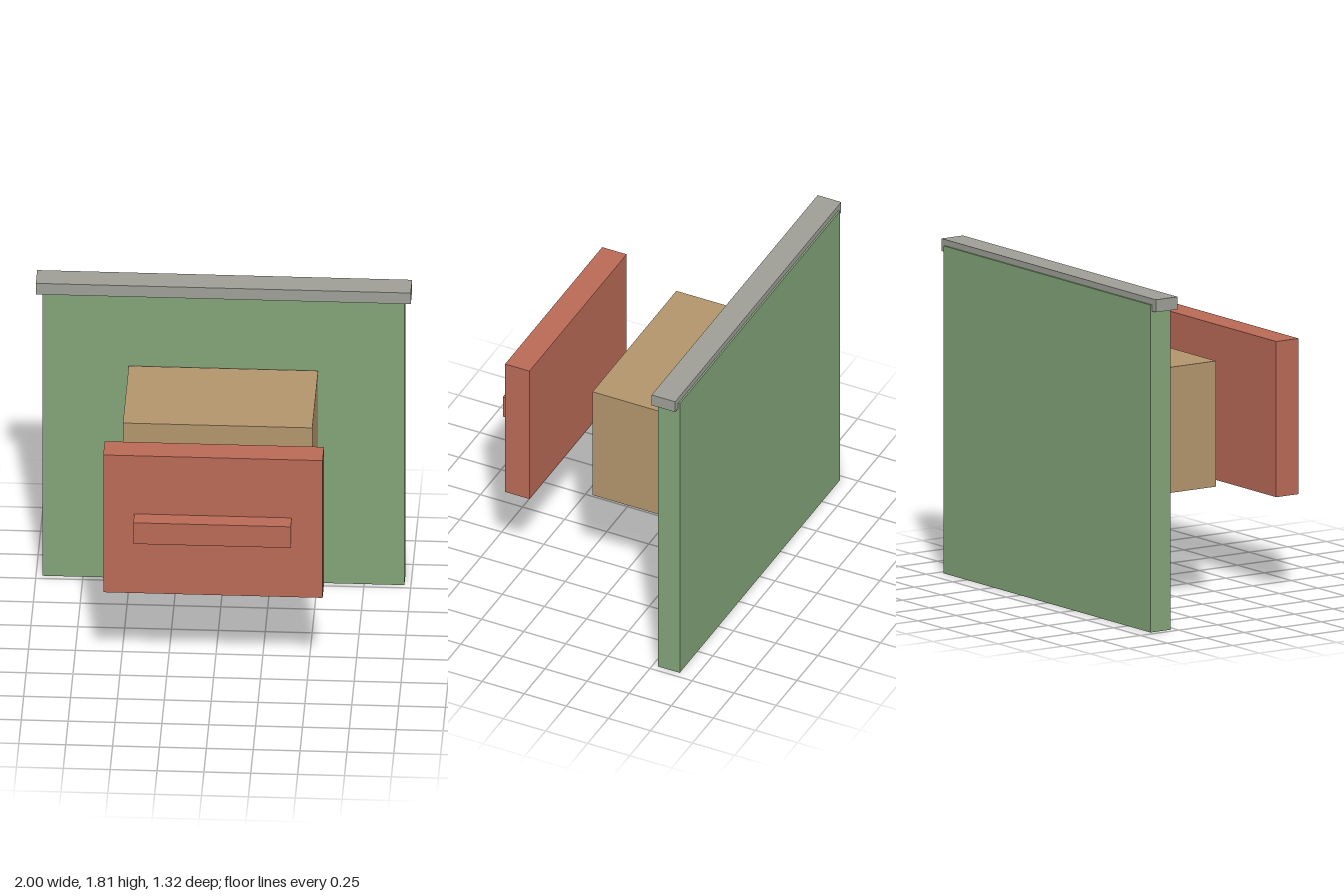
import * as THREE from 'three';

const GREEN = 0x82a377, GREY = 0x9e9e97, TAN = 0xb3956c, RED = 0xb96a56, SLATE = 0x5f6b75, PALE = 0xb5b0a4;

// Box given by its [min, max] range on each axis
function block(name, color, [x0, x1], [y0, y1], [z0, z1]) {
  const mesh = new THREE.Mesh(
    new THREE.BoxGeometry(x1 - x0, y1 - y0, z1 - z0),
    new THREE.MeshStandardMaterial({ color })
  );
  mesh.name = name;
  mesh.position.set((x0 + x1) / 2, (y0 + y1) / 2, (z0 + z1) / 2);
  return mesh;
}

export function createModel() {
  const model = new THREE.Group();
  model.name = 'wallBox';

  // Back wall with its coping
  model.add(
    block('wall', GREEN, [-0.965, 0.965], [0, 1.78], [-0.66, -0.53]),
    block('coping', GREY, [-1, 1], [1.745, 1.813], [-0.65, -0.51])
  );

  // Box in front of the wall, with the plate and foot below it
  model.add(
    block('box', TAN, [-0.505, 0.505], [0.63, 1.313], [-0.52, 0.085]),
    block('underPlate', SLATE, [-0.3, 0.3], [0.6, 0.63], [-0.475, -0.115]),
    block('foot', PALE, [-0.45, -0.325], [0.545, 0.63], [-0.52, -0.32])
  );

  // Detached front panel with a bar handle
  const cover = new THREE.Group();
  cover.name = 'frontCover';
  cover.add(
    block('coverPanel', RED, [-0.585, 0.585], [0.547, 1.393], [0.42, 0.565]),
    block('coverHandle', RED, [-0.42, 0.42], [0.905, 1.035], [0.565, 0.66])
  );
  model.add(cover);

  return model;
}
